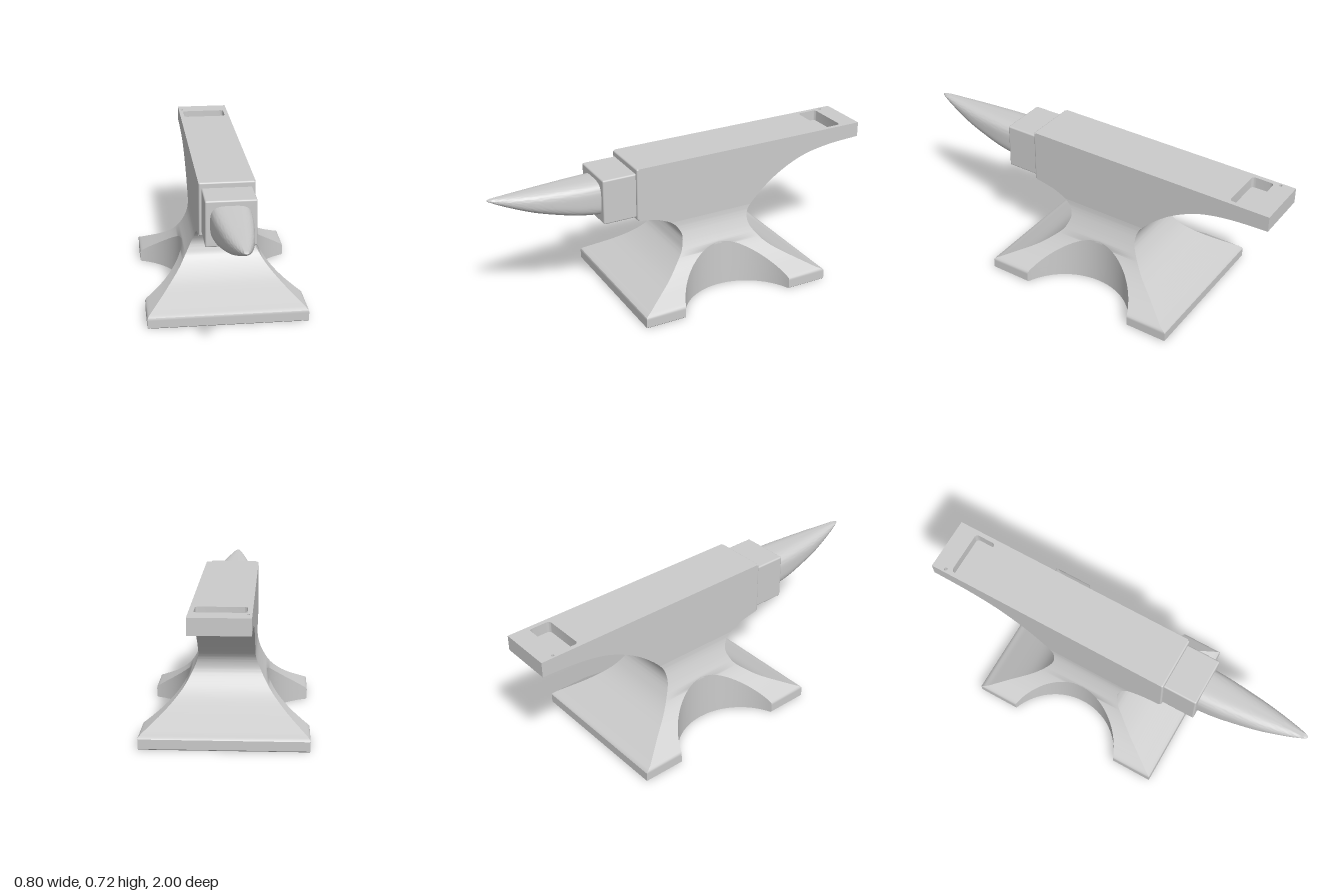
import * as THREE from 'three';
import { toCreasedNormals } from 'three/addons/utils/BufferGeometryUtils.js';
import { RoundedBoxGeometry } from 'three/addons/geometries/RoundedBoxGeometry.js';

const material = new THREE.MeshStandardMaterial({ color: 0xcccccc });
const HALF = 0.137, TOP = 0.717, FLOOR = 0.662, FRONT = 0.284;

// Smooth curve through [key, value] pairs, sampled
const curve = (pairs) =>
  new THREE.SplineCurve(pairs.map(([k, v]) => new THREE.Vector2(k, v))).getPoints(160);

// Value of a sampled curve at a key, clamped at both ends
function at(points, key) {
  if (key <= points[0].x) return points[0].y;
  for (let i = 1; i < points.length; i++) {
    const a = points[i - 1], b = points[i];
    if (key <= b.x) return a.y + (b.y - a.y) * (key - a.x) / (b.x - a.x || 1);
  }
  return points[points.length - 1].y;
}

// Skin a stack of mirror-symmetric rings and close the first one
function loft(rings, crease) {
  const m = rings[0].length, index = [];
  rings.slice(1).forEach((_, k) => {
    for (let j = 0; j < m; j++) {
      const a = k * m + j, b = k * m + (j + 1) % m;
      index.push(a, b, b + m, a, b + m, a + m);
    }
  });
  for (let j = 0; j < m / 2 - 1; j++) {
    index.push(j, m - 1 - j, j + 1, j + 1, m - 1 - j, m - 2 - j);
  }
  const g = new THREE.BufferGeometry();
  g.setAttribute('position', new THREE.Float32BufferAttribute(rings.flat(2), 3));
  g.setIndex(index);
  return toCreasedNormals(g, crease);
}

// Silhouettes as [y, offset]
const widthCurve = curve([[0.052, 0.4], [0.062, 0.394], [0.09, 0.355], [0.128, 0.303], [0.17, 0.254],
  [0.216, 0.212], [0.27, 0.178], [0.323, 0.153], [0.36, 0.141], [0.39, HALF]]);
const frontCurve = curve([[0.052, 0.382], [0.062, 0.374], [0.085, 0.325], [0.155, 0.19], [0.23, 0.096],
  [0.28, 0.066], [0.326, 0.06], [0.38, 0.096], [0.417, 0.165], [0.434, 0.23], [0.444, 0.294]]);
const backCurve = curve([[0.052, -0.647], [0.06, -0.638], [0.08, -0.593], [0.18, -0.42], [0.262, -0.342],
  [0.326, -0.32], [0.39, -0.347], [0.487, -0.449], [0.556, -0.556], [0.604, -0.674], [0.63, -0.82], [0.64, -1]]);

// Flared foot with a round scoop cut from each side
function footGeometry() {
  const R = 0.319, cx = 0.509, zc = -0.133, N = 32;
  const levels = [0, 0.005];
  for (let i = 0; i <= 56; i++) levels.push(0.045 + 0.345 * i / 56);
  const rings = levels.map((y) => {
    const inset = y === 0 ? 0.005 : 0;
    const w = at(widthCurve, y) - inset;
    const z0 = at(frontCurve, y) - inset, z1 = at(backCurve, y) + inset;
    const dz = Math.sqrt(Math.max(0, R * R - (cx - w) ** 2));
    const right = [[w, y, z0]];
    for (let i = 0; i <= N; i++) {
      const z = zc + dz * Math.cos(Math.PI * i / N);
      right.push([Math.min(w, cx - Math.sqrt(R * R - (z - zc) ** 2)), y, z]);
    }
    right.push([w, y, z1]);
    return [...right, ...right.map(([x, yy, z]) => [-x, yy, z]).reverse()];
  });
  return loft(rings, 0.6);
}

// Body: side outline extruded across the width
function bodyGeometry() {
  const low = 0.36;
  const front = frontCurve.filter((p) => p.x > low && p.y < FRONT).map((p) => new THREE.Vector2(p.y, p.x));
  const back = backCurve.filter((p) => p.x > low).map((p) => new THREE.Vector2(p.y, p.x));
  const outline = [...front, new THREE.Vector2(FRONT, 0.4425), new THREE.Vector2(FRONT, FLOOR),
    new THREE.Vector2(-1, FLOOR), ...back.reverse()];
  const g = new THREE.ExtrudeGeometry(new THREE.Shape(outline), { depth: 2 * HALF, bevelEnabled: false });
  g.rotateY(-Math.PI / 2).translate(HALF, 0, 0);
  return toCreasedNormals(g, 0.6);
}

// Top face with a rounded tool slot and a small pin hole
function faceGeometry() {
  const s = new THREE.Shape();
  s.moveTo(-HALF, -FRONT).lineTo(HALF, -FRONT).lineTo(HALF, 1).lineTo(-HALF, 1).closePath();
  const slot = new THREE.Path(), x = 0.115, a = 0.79, b = 0.9, r = 0.02;
  slot.moveTo(-x + r, a).lineTo(x - r, a).quadraticCurveTo(x, a, x, a + r);
  slot.lineTo(x, b - r).quadraticCurveTo(x, b, x - r, b);
  slot.lineTo(-x + r, b).quadraticCurveTo(-x, b, -x, b - r);
  slot.lineTo(-x, a + r).quadraticCurveTo(-x, a, -x + r, a);
  const pin = new THREE.Path().absarc(-0.12, 0.93, 0.008, 0, Math.PI * 2, true);
  s.holes.push(slot, pin);
  const g = new THREE.ExtrudeGeometry(s, { depth: TOP - FLOOR, bevelEnabled: false, curveSegments: 8 });
  g.rotateX(-Math.PI / 2).translate(0, FLOOR, 0);
  return toCreasedNormals(g, 0.6);
}

// Horn: squarish at the root, round towards the tip
function hornGeometry() {
  const width = curve([[0.45, 0.1], [0.52, 0.097], [0.6, 0.09], [0.75, 0.07], [0.85, 0.05],
    [0.93, 0.03], [0.98, 0.014], [0.995, 0.006], [1, 0]]);
  const top = curve([[0.45, 0.663], [0.7, 0.662], [0.95, 0.661], [0.985, 0.66], [1, 0.655]]);
  const bottom = curve([[0.45, 0.484], [0.53, 0.493], [0.62, 0.51], [0.78, 0.555], [0.914, 0.61],
    [0.98, 0.643], [1, 0.655]]);
  const rings = [], M = 64, L = 48;
  for (let k = 0; k <= L; k++) {
    const t = 1 - (1 - k / L) ** 2, z = 0.45 + 0.55 * t;
    const w = at(width, z), hi = at(top, z), lo = at(bottom, z);
    const e = 2 / (3.6 - 1.5 * t), ring = [];
    const bend = (v) => Math.sign(v) * Math.abs(v) ** e;
    for (let j = 0; j < M; j++) {
      const q = (j + 0.5) / M * Math.PI * 2;
      ring.push([w * bend(Math.cos(q)), (hi + lo) / 2 + (hi - lo) / 2 * bend(Math.sin(q)), z]);
    }
    rings.push(ring);
  }
  return loft(rings, 0.9);
}

// Soft-edged block between two heights and two depths
function block(half, y0, y1, z0, z1) {
  return new RoundedBoxGeometry(2 * half, y1 - y0, z1 - z0, 3, 0.008)
    .translate(0, (y0 + y1) / 2, (z0 + z1) / 2);
}

export function createModel() {
  const group = new THREE.Group();
  group.name = 'anvil';
  const parts = {
    foot: footGeometry(),
    body: bodyGeometry(),
    topFace: faceGeometry(),
    bodyFront: block(HALF, 0.444, TOP, 0.254, 0.294),
    step: block(0.123, 0.458, 0.689, 0.27, 0.466),
    horn: hornGeometry(),
  };
  for (const [name, geometry] of Object.entries(parts)) {
    const mesh = new THREE.Mesh(geometry, material);
    mesh.name = name;
    group.add(mesh);
  }
  return group;
}
